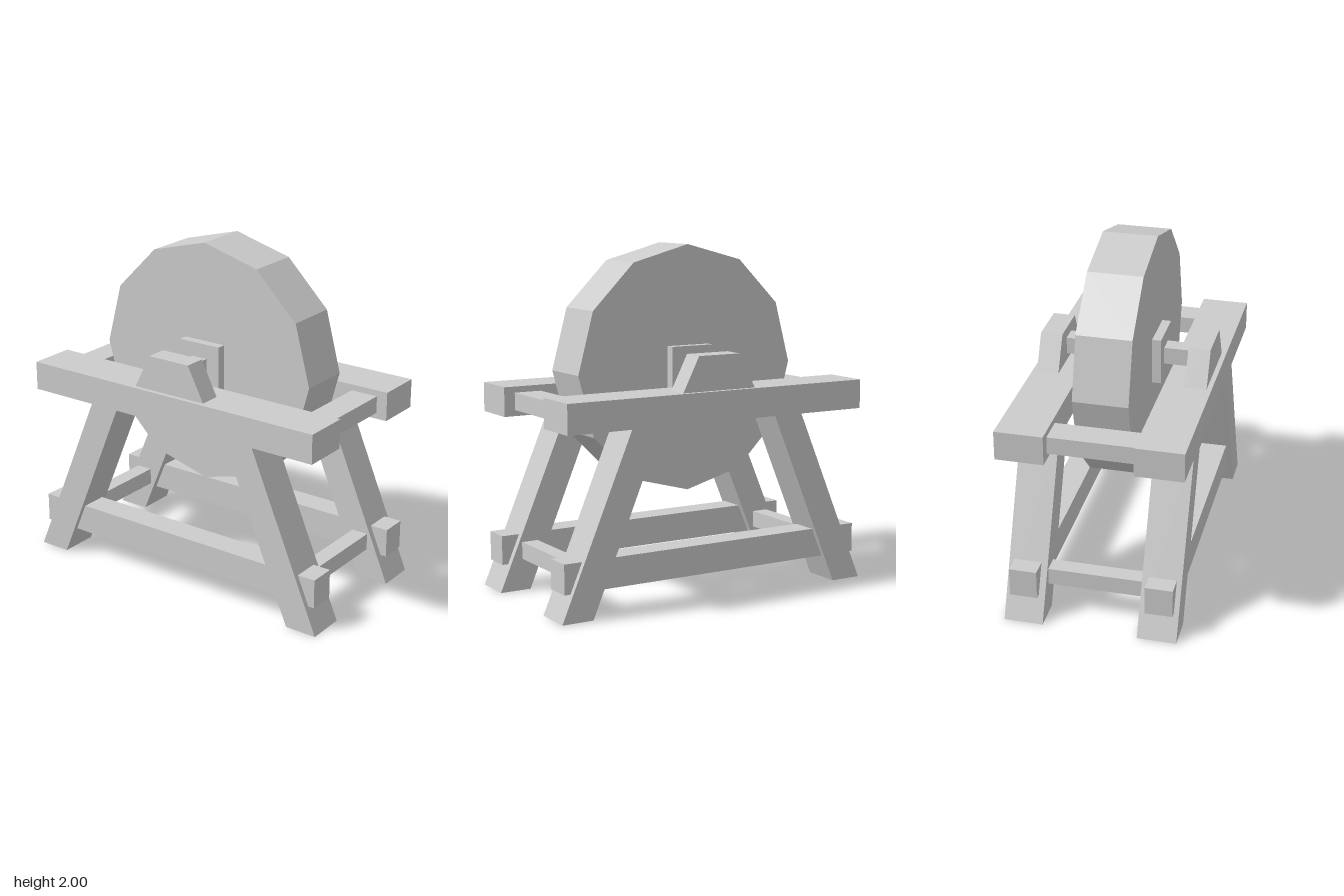
import * as THREE from 'three';

const material = new THREE.MeshStandardMaterial({ color: 0xcccccc, flatShading: true });

export function createModel() {
  const group = new THREE.Group();

  const add = (name, geometry, x, y, z) => {
    const mesh = new THREE.Mesh(geometry, material);
    mesh.name = name;
    mesh.position.set(x, y, z);
    group.add(mesh);
    return mesh;
  };
  const box = (name, w, h, d, x, y, z) => add(name, new THREE.BoxGeometry(w, h, d), x, y, z);

  // Flat outline in x/y, given depth and centred on z
  const slab = (name, points, depth, z) => {
    const shape = new THREE.Shape(points.map(([x, y]) => new THREE.Vector2(x, y)));
    return add(name, new THREE.ExtrudeGeometry(shape, { depth, bevelEnabled: false }), 0, 0, z - depth / 2);
  };

  // Twelve-sided grinding wheel with a corner at the top
  const axleY = 1.29;
  const wheel = new THREE.CylinderGeometry(0.71, 0.71, 0.315, 12);
  wheel.rotateX(Math.PI / 2);
  add('wheel', wheel, 0, axleY, 0);

  // Square hub plates and axle
  box('hub', 0.27, 0.27, 0.42, 0, axleY, 0);
  box('axle', 0.1, 0.1, 0.8, 0, axleY, 0);

  for (const side of [1, -1]) {
    const end = side > 0 ? 'front' : 'back';

    // Long rails and the axle bearing
    box(end + 'TopRail', 1.94, 0.17, 0.275, 0, 1.115, side * 0.385);
    box(end + 'LowerRail', 1.94, 0.17, 0.158, 0, 0.24, side * 0.389);
    slab(end + 'Bearing', [[-0.24, 1.195], [0.24, 1.195], [0.135, 1.4], [-0.135, 1.4]], 0.127, side * 0.431);

    // Splayed legs, cut level at both ends
    slab(end + 'LeftLeg', [[0.81, 0], [1, 0], [0.56, 1.035], [0.375, 1.035]], 0.225, side * 0.385);
    slab(end + 'RightLeg', [[-1, 0], [-0.81, 0], [-0.375, 1.035], [-0.56, 1.035]], 0.225, side * 0.385);
  }

  // Crossbars joining the front and back frames
  for (const side of [1, -1]) {
    const end = side > 0 ? 'left' : 'right';
    box(end + 'TopCrossbar', 0.165, 0.1, 0.52, side * 0.822, 1.115, 0);
    box(end + 'LowerCrossbar', 0.1, 0.1, 0.58, side * 0.81, 0.235, 0);
  }

  return group;
}
